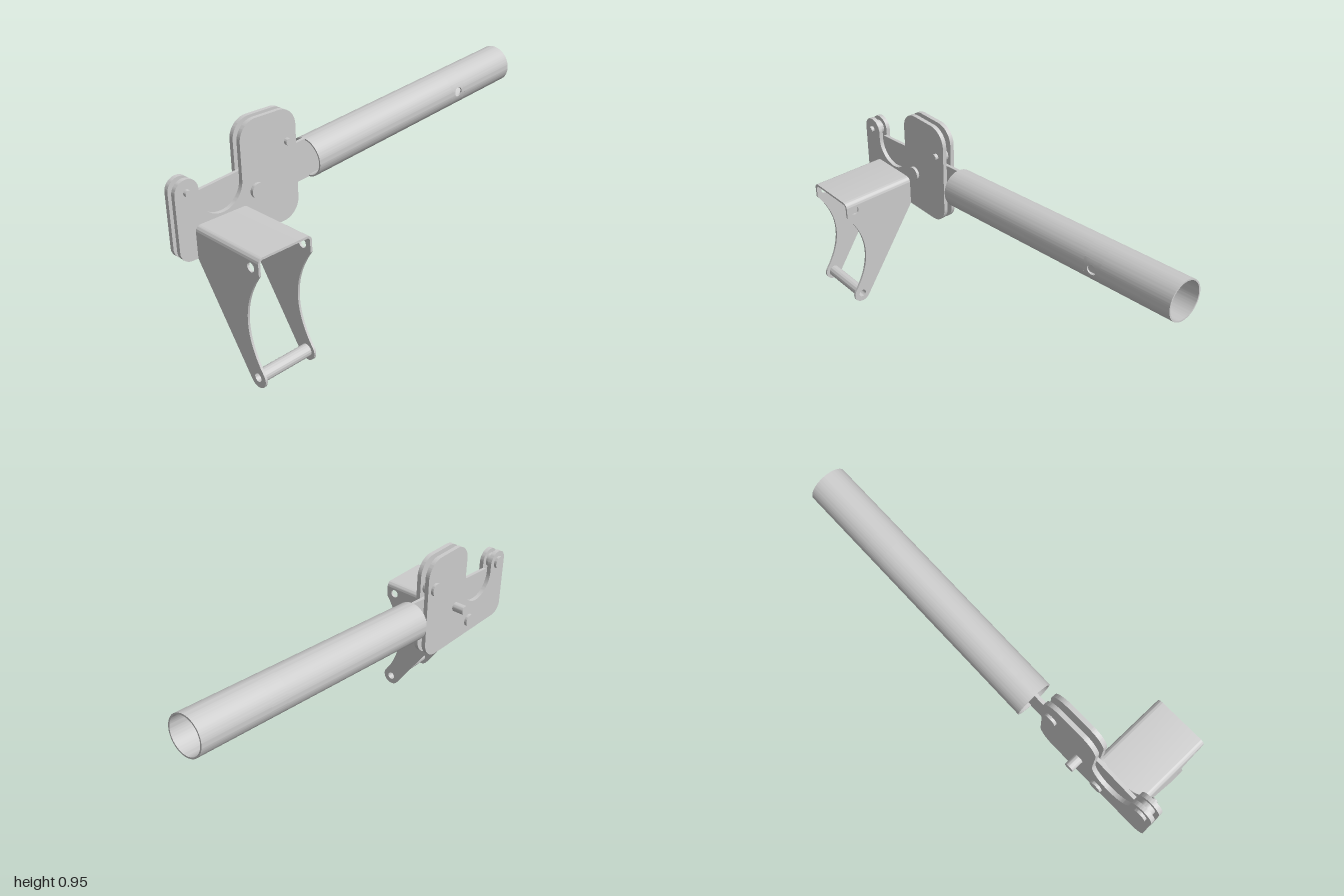
import * as THREE from 'three';
import { toCreasedNormals } from 'three/addons/utils/BufferGeometryUtils.js';

const PI = Math.PI;
const material = new THREE.MeshStandardMaterial({ color: 0xcccccc });
const MID_Z = -0.157; // shared plane of plates, tongue and tube

function addMesh(parent, name, geometry) {
  const mesh = new THREE.Mesh(toCreasedNormals(geometry, 0.5), material);
  mesh.name = name;
  parent.add(mesh);
  return mesh;
}

function extrude(shape, depth, curveSegments = 20) {
  return new THREE.ExtrudeGeometry(shape, { depth, curveSegments, bevelEnabled: false });
}

function circleHole(x, y, r) {
  return new THREE.Path().absarc(x, y, r, 0, 2 * PI, true);
}

// Cylinder along z between two z values
function addPin(parent, name, x, y, r, z0, z1) {
  const g = new THREE.CylinderGeometry(r, r, z1 - z0, 32).rotateX(PI / 2);
  g.translate(x, y, (z0 + z1) / 2);
  addMesh(parent, name, g);
}

// Hollow ring along x, starting at x0
function ringAlongX(R, r, x0, length) {
  const s = new THREE.Shape().absarc(0, 0, R, 0, 2 * PI, false);
  s.holes.push(circleHole(0, 0, r));
  return extrude(s, length, 64).rotateY(PI / 2).translate(x0, 0, 0);
}

// Piece of tube wall facing +z with a round hole, swept as loops
function drilledWall(R, r, x, half, holeR) {
  const loops = [[1, R], [0.6, R], [0.25, R], [0, R], [0, r], [0.25, r], [0.6, r], [1, r]];
  const n = 32, pos = [], index = [];
  for (const [f, rad] of loops) {
    for (let k = 0; k < n; k++) {
      const c = Math.cos(2 * PI * k / n), s = Math.sin(2 * PI * k / n);
      const d = THREE.MathUtils.lerp(holeR, half / Math.max(Math.abs(c), Math.abs(s)), f);
      const phi = d * s / R;
      pos.push(x + d * c, rad * Math.sin(phi), rad * Math.cos(phi));
    }
  }
  for (let j = 0; j < loops.length - 1; j++) {
    for (let k = 0; k < n; k++) {
      const a = j * n + k, b = j * n + (k + 1) % n;
      index.push(a, b, b + n, a, b + n, a + n);
    }
  }
  const g = new THREE.BufferGeometry();
  g.setAttribute('position', new THREE.Float32BufferAttribute(pos, 3));
  g.setIndex(index);
  return g;
}

function sidePlateShape() {
  const s = new THREE.Shape();
  s.moveTo(-0.945, 0.45);
  s.absarc(-0.475, 0.535, 0.085, -PI / 2, 0, false);
  s.absarc(-0.475, 0.865, 0.085, 0, PI / 2, false);
  s.absarc(-0.595, 0.865, 0.085, PI / 2, PI, false);
  s.absarc(-0.785, 0.71, 0.105, 0, -PI, true); // hook notch
  s.absarc(-0.945, 0.745, 0.055, 0, PI, false);
  s.absarc(-0.945, 0.505, 0.055, PI, 1.5 * PI, false);
  return s;
}

function buildClamp() {
  const clamp = new THREE.Group();
  clamp.name = 'clamp';
  for (const [name, z] of [['frontPlate', -0.145], ['backPlate', -0.189]]) {
    addMesh(clamp, name, extrude(sidePlateShape(), 0.02).translate(0, 0, z));
  }
  // Rivets: thin tip in front, spacer between the plates, flat head behind
  for (const [x, y] of [[-0.945, 0.745], [-0.73, 0.517], [-0.44, 0.805]]) {
    addPin(clamp, 'rivetShaft', x, y, 0.015, -0.195, -0.109);
    addPin(clamp, 'rivetSpacer', x, y, 0.034, -0.17, -0.144);
    addPin(clamp, 'rivetHead', x, y, 0.03, -0.202, -0.188);
  }
  // Long pivot pin
  addPin(clamp, 'pivotShaft', -0.61, 0.642, 0.022, -0.246, -0.12);
  addPin(clamp, 'pivotHead', -0.61, 0.642, 0.033, -0.126, -0.111);
  return clamp;
}

function buildHandle() {
  const handle = new THREE.Group();
  handle.name = 'handle';
  handle.position.set(-0.312, 0.683, MID_Z);
  handle.rotation.z = 5.05 * PI / 180;

  // Tube, with one hole facing the front
  const R = 0.09, r = 0.083, L = 1.307, hx = 0.915, half = 0.045;
  addMesh(handle, 'tubeInnerLength', ringAlongX(R, r, 0, hx - half));
  addMesh(handle, 'tubeOuterLength', ringAlongX(R, r, hx + half, L - hx - half));
  const a = PI - half / R;
  const sector = new THREE.Shape();
  sector.absarc(0, 0, R, -a, a, false);
  sector.absarc(0, 0, r, a, -a, true);
  addMesh(handle, 'tubeMiddle',
    extrude(sector, 2 * half, 64).rotateY(PI / 2).translate(hx - half, 0, 0));
  addMesh(handle, 'tubeDrilledWall', drilledWall(R, r, hx, half, 0.023));

  // Flat tongue: full height between the plates, stepped down inside the tube
  const t = new THREE.Shape();
  t.moveTo(-0.57, -0.09);
  t.lineTo(0, -0.09);
  t.lineTo(0, -0.082);
  t.lineTo(0.95, -0.082);
  t.lineTo(0.95, 0.082);
  t.lineTo(0, 0.082);
  t.lineTo(0, 0.09);
  t.lineTo(-0.57, 0.09);
  addMesh(handle, 'tongue', extrude(t, 0.016).translate(0, 0, -0.008));
  return handle;
}

function buildBracket() {
  const bracket = new THREE.Group();
  bracket.name = 'bracket';
  const x0 = -0.92, x1 = -0.655, top = 0.593, bend = 0.025, wall = 0.01;
  const yb = top - bend, back = -0.125, front = 0.25;

  // Folded top sheet with rounded bends
  const u = new THREE.Shape();
  u.moveTo(x1, yb);
  u.absarc(x1 - bend, yb, bend, 0, PI / 2, false);
  u.absarc(x0 + bend, yb, bend, PI / 2, PI, false);
  u.lineTo(x0 + wall, yb);
  u.absarc(x0 + bend, yb, bend - wall, PI, PI / 2, true);
  u.absarc(x1 - bend, yb, bend - wall, PI / 2, 0, true);
  addMesh(bracket, 'topSheet', extrude(u, front - back).translate(0, 0, back));

  // Side cheeks, drawn in (z, y)
  const c = new THREE.Shape();
  c.moveTo(back, yb);
  c.lineTo(back, 0.45);
  c.absarc(0.205, 0.047, 0.045, -2.55, 0.7, false);
  c.quadraticCurveTo(0.085, 0.291, front, 0.518);
  c.lineTo(front, yb);
  c.holes.push(circleHole(0.205, 0.542, 0.02), circleHole(0.205, 0.047, 0.019));
  for (const [name, x] of [['rightCheek', x0 + wall], ['leftCheek', x1]]) {
    addMesh(bracket, name, extrude(c, wall).rotateY(-PI / 2).translate(x, 0, 0));
  }

  // Hollow cross bar at the foot
  addMesh(bracket, 'crossBar',
    ringAlongX(0.028, 0.019, x0 + wall, x1 - x0 - 2 * wall).translate(0, 0.047, 0.205));
  return bracket;
}

export function createModel() {
  const model = new THREE.Group();
  model.name = 'hookClampWithHandle';
  model.add(buildClamp(), buildHandle(), buildBracket());
  return model;
}
